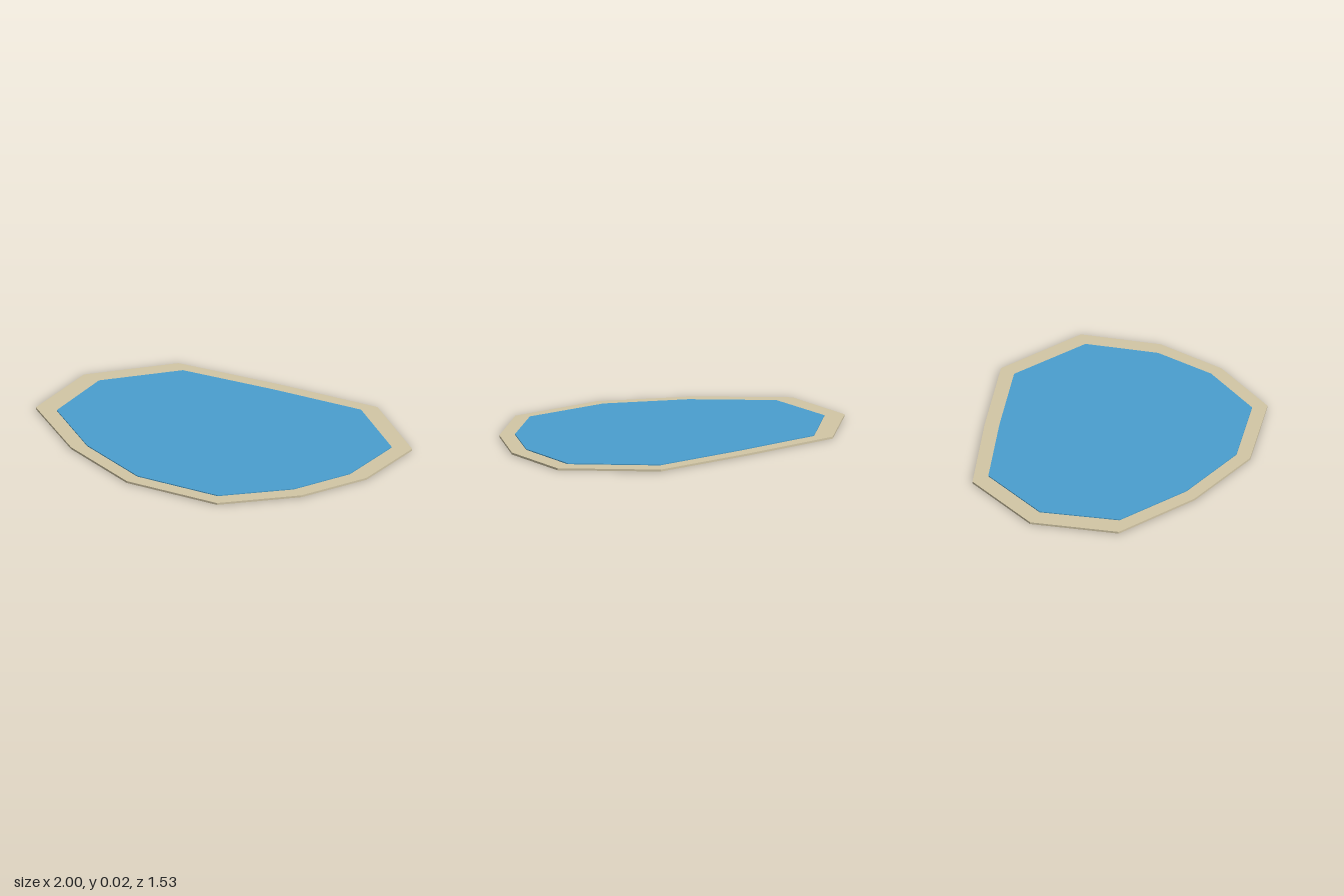
import * as THREE from 'three';

// Matching corners of the bank and the water, as [x, z]
const bankOutline = [
  [1, 0.01], [1, -0.435], [0.55, -0.77], [-0.05, -0.715], [-0.655, -0.635], [-1, -0.23],
  [-0.985, 0.26], [-0.545, 0.575], [-0.055, 0.765], [0.505, 0.725], [0.83, 0.39],
];
const waterOutline = [
  [0.9, 0.02], [0.9, -0.385], [0.5, -0.685], [-0.04, -0.635], [-0.58, -0.565], [-0.885, -0.205],
  [-0.865, 0.235], [-0.48, 0.515], [-0.04, 0.685], [0.46, 0.65], [0.755, 0.35],
];

// Flat slab with the given plan, from height y0 to y1
function slab(name, outline, y0, y1, color) {
  const shape = new THREE.Shape(outline.map(([x, z]) => new THREE.Vector2(x, -z)));
  const geometry = new THREE.ExtrudeGeometry(shape, { depth: y1 - y0, bevelEnabled: false });
  geometry.rotateX(-Math.PI / 2).translate(0, y0, 0);
  const mesh = new THREE.Mesh(geometry, new THREE.MeshStandardMaterial({ color, flatShading: true }));
  mesh.name = name;
  return mesh;
}

export function createModel() {
  const pond = new THREE.Group();
  pond.name = 'pond';
  pond.add(
    slab('sandBank', bankOutline, 0, 0.011, 0xd2c6a5),
    slab('water', waterOutline, 0.005, 0.016, 0x4a9fcf), // sunk slightly into the bank
  );
  return pond;
}
